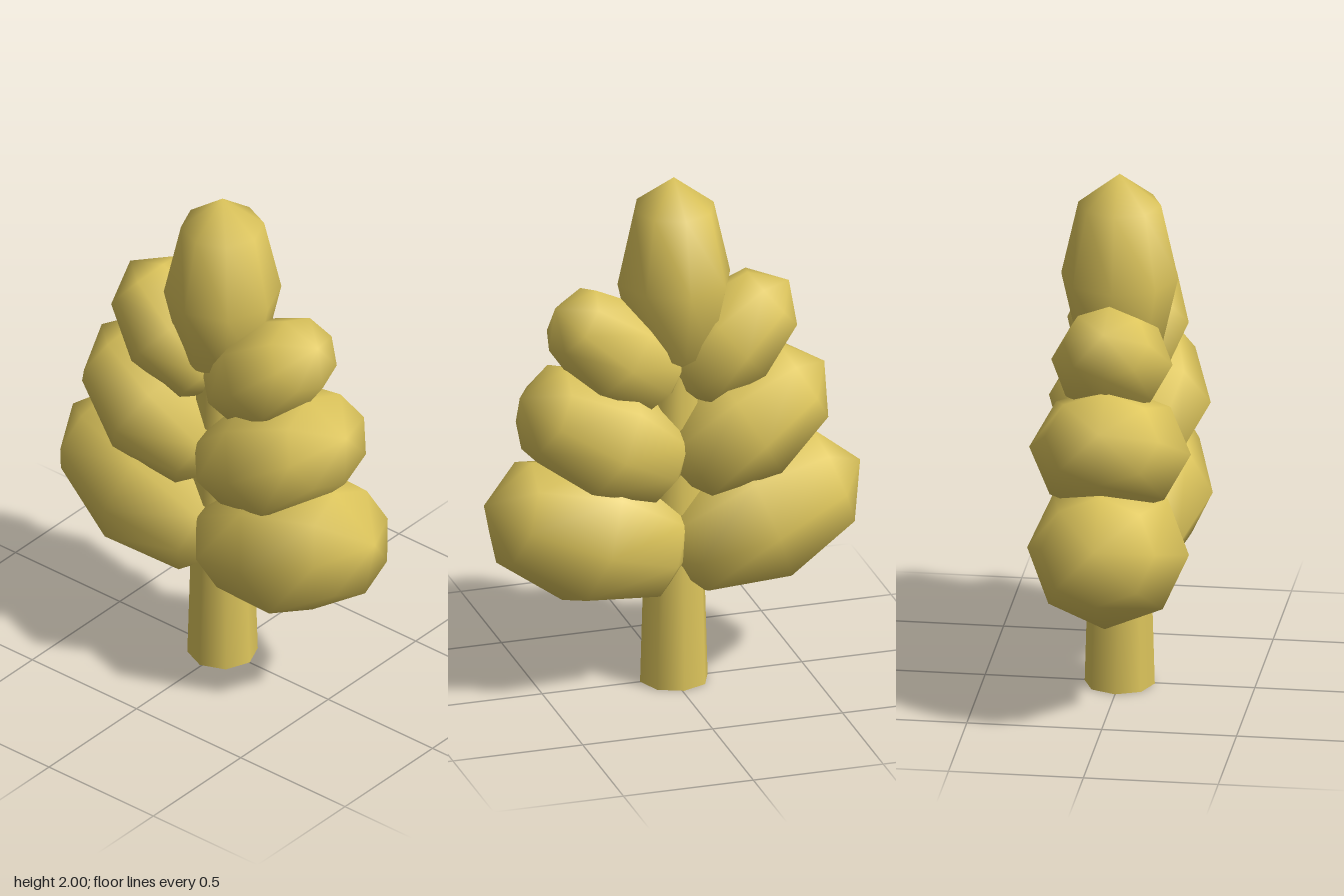
import * as THREE from 'three';

export function createModel() {
  const model = new THREE.Group();
  model.name = 'grainEar';
  const straw = new THREE.MeshStandardMaterial({ color: 0xdec65c });
  straw.name = 'straw';

  // Low-poly grain shared by every kernel, long axis along y
  const grain = new THREE.SphereGeometry(1, 8, 4);

  function addKernel(name, y, z, halfWidth, halfLength, halfDepth, turn) {
    const mesh = new THREE.Mesh(grain, straw);
    mesh.name = name;
    mesh.position.set(0, y, z);
    mesh.scale.set(halfWidth, halfLength, halfDepth);
    mesh.rotation.x = turn;
    model.add(mesh);
  }

  // Stem, tapering up inside the ear
  const stem = new THREE.Mesh(new THREE.CylinderGeometry(0.09, 0.13, 1.4, 8), straw);
  stem.name = 'stem';
  stem.position.set(0, 0.7, -0.007);
  model.add(stem);

  // Upright kernel at the tip
  addKernel('tipKernel', 1.6, -0.007, 0.217, 0.4, 0.217, 0);

  // Three pairs of side kernels: height, offset, half sizes, upward tilt in degrees
  const pairs = [
    ['lower', 0.635, 0.325, 0.3, 0.425, 0.287, 20],
    ['middle', 1.01, 0.27, 0.3, 0.365, 0.245, 30],
    ['upper', 1.34, 0.22, 0.225, 0.3, 0.2, 40],
  ];
  for (const [row, y, z, w, l, d, tilt] of pairs) {
    const turn = THREE.MathUtils.degToRad(90 - tilt);
    addKernel(row + 'FrontKernel', y, z, w, l, d, turn);
    addKernel(row + 'BackKernel', y, -z, w, l, d, -turn);
  }
  return model;
}
